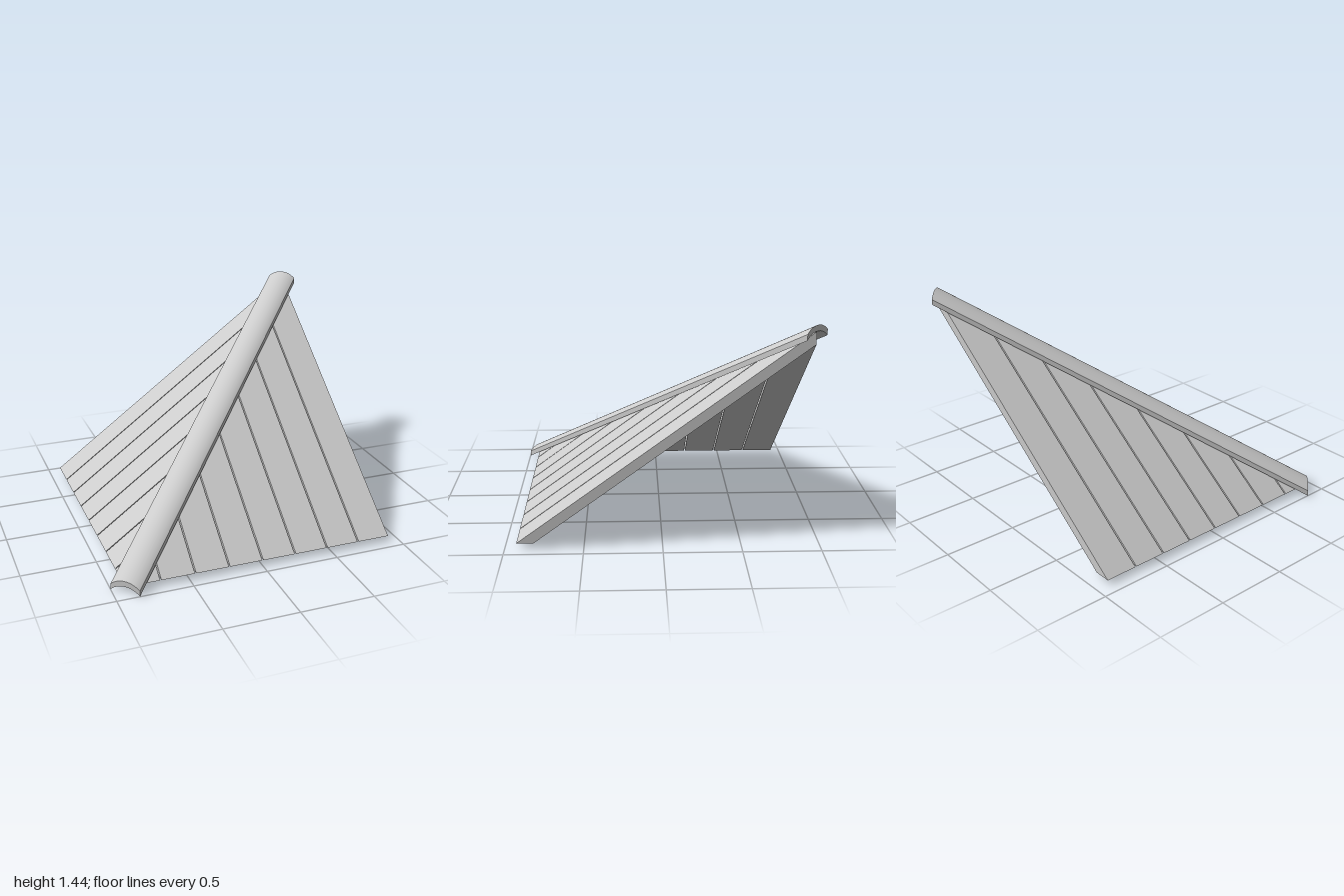
import * as THREE from 'three';
import { toCreasedNormals } from 'three/addons/utils/BufferGeometryUtils.js';

const HALF = 0.925;      // half the plan size, eave to top edge
const SLOPE = 0.7325;    // rise per unit of run
const EAVE = 0.04;       // height of the level eave cut
const THICK = 0.08;      // vertical thickness of the boards
const CUT = THICK / SLOPE;
const COUNT = 8, GAP = 0.009;

const material = new THREE.MeshStandardMaterial({ color: 0xcccccc });

// Board profile at position x: level cut at the eave, plumb cut at the hip line
function section(x) {
  const run = x + HALF;
  const c = Math.min(CUT, run);
  const top = EAVE + run * SLOPE;
  return [
    [x, EAVE, HALF],
    [x, EAVE, HALF - c],
    [x, Math.max(EAVE, top - THICK), -x],
    [x, top, -x],
  ];
}

// Board lofted through its profiles; mirrored across the hip for the other slope
function boardGeometry(xs, mirrored) {
  const rings = xs.map(section);
  const pos = [];
  const quad = (a, b, c, d) => {
    for (const tri of [[a, b, c], [a, c, d]]) {
      if (mirrored) tri.reverse();
      for (const [x, y, z] of tri) pos.push(...(mirrored ? [-z, y, -x] : [x, y, z]));
    }
  };
  for (let k = 0; k < rings.length - 1; k++) {
    const a = rings[k], b = rings[k + 1];
    for (let i = 0; i < 4; i++) {
      const j = (i + 1) % 4;
      quad(a[i], a[j], b[j], b[i]);
    }
  }
  quad(...rings[rings.length - 1]);
  quad(...[...rings[0]].reverse());
  const g = new THREE.BufferGeometry();
  g.setAttribute('position', new THREE.Float32BufferAttribute(pos, 3));
  g.computeVertexNormals();
  return g;
}

function roofSlope(name, mirrored) {
  const slope = new THREE.Group();
  slope.name = name;
  const step = 2 * HALF / COUNT;
  for (let i = 0; i < COUNT; i++) {
    const x0 = -HALF + i * step + GAP / 2, x1 = x0 + step - GAP;
    const kink = CUT - HALF;
    const xs = kink > x0 && kink < x1 ? [x0, kink, x1] : [x0, x1];
    const board = new THREE.Mesh(boardGeometry(xs, mirrored), material);
    board.name = 'roofBoard' + (i + 1);
    slope.add(board);
  }
  return slope;
}

// Arched hip cap, extruded and sheared so that its ends stay plumb
function hipCap() {
  const w = 0.104, rise = 0.042, t = 0.038, n = 16;
  const r = (w * w + rise * rise) / (2 * rise);
  const half = Math.asin(w / r);
  const arc = (base) => Array.from({ length: n + 1 }, (_, i) => {
    const a = half * (1 - 2 * i / n);
    return new THREE.Vector2(r * Math.sin(a), base + rise - r + r * Math.cos(a));
  });
  const shape = new THREE.Shape([...arc(t), ...arc(0).reverse()]);
  const geo = new THREE.ExtrudeGeometry(shape, {
    depth: 2 * HALF * Math.SQRT2, bevelEnabled: false,
  });
  const s = Math.SQRT1_2;
  geo.applyMatrix4(new THREE.Matrix4().set(
    s, 0, -s, HALF,
    0, 1, -s * SLOPE, 2 * HALF * SLOPE,
    s, 0, s, -HALF,
    0, 0, 0, 1,
  ));
  const cap = new THREE.Mesh(toCreasedNormals(geo, 0.6), material);
  cap.name = 'hipCap';
  return cap;
}

export function createModel() {
  const model = new THREE.Group();
  model.name = 'hipRoofCorner';
  model.add(roofSlope('frontSlope', false), roofSlope('sideSlope', true), hipCap());
  return model;
}
